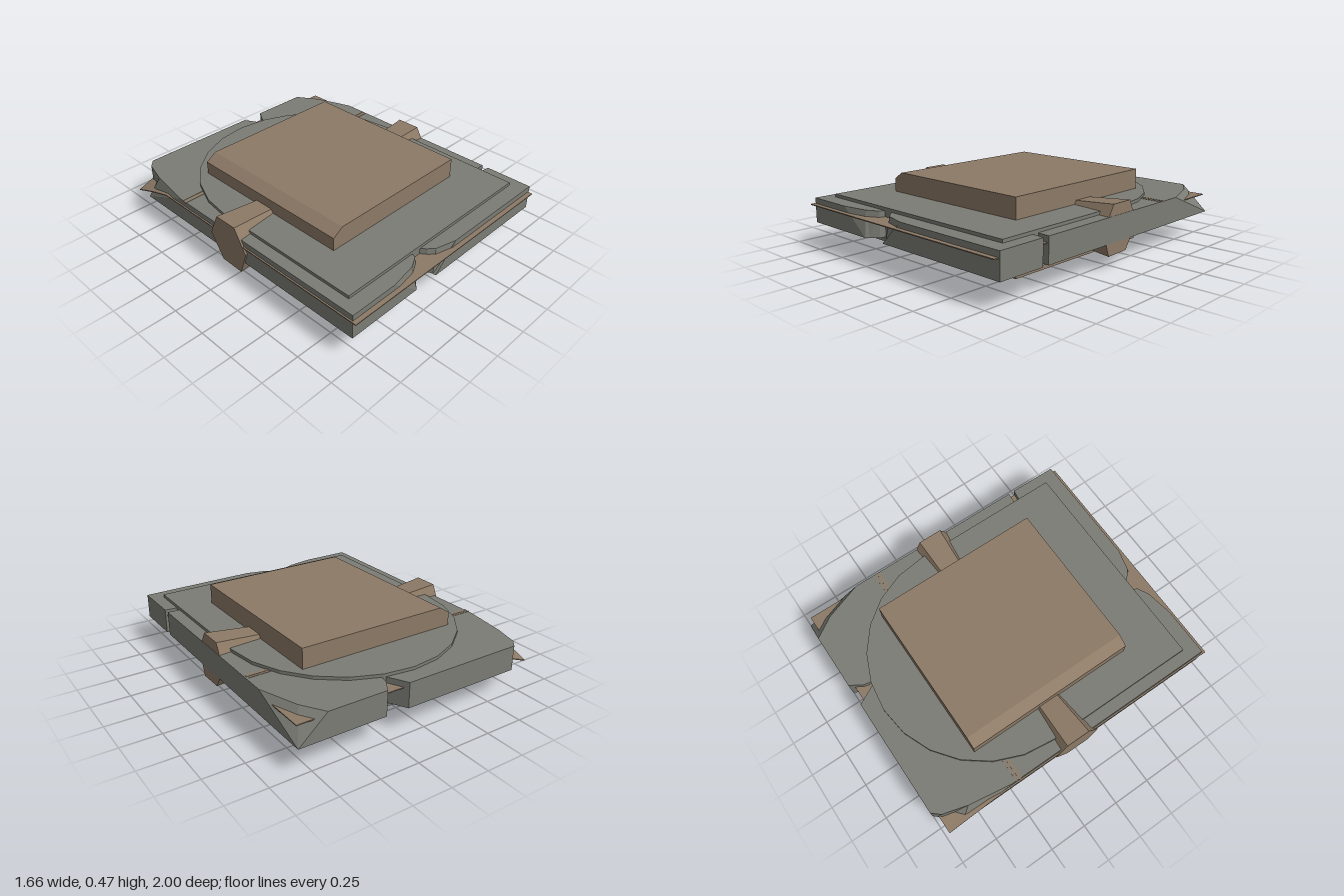
import * as THREE from 'three';

// Faceted solid between two [x, z] outlines at heights y0 and y1
function loft(low, high, y0, y1) {
  const flat = (ring) => ring.map(([x, z]) => new THREE.Vector2(x, -z));
  if (THREE.ShapeUtils.isClockWise(flat(low))) {
    low = [...low].reverse();
    high = [...high].reverse();
  }
  const pos = [];
  const L = low.map(([x, z]) => [x, y0, z]);
  const H = high.map(([x, z]) => [x, y1, z]);
  const same = (a, b) => a[0] === b[0] && a[1] === b[1] && a[2] === b[2];
  const tri = (a, b, c) => {
    if (!same(a, b) && !same(b, c) && !same(a, c)) pos.push(...a, ...b, ...c);
  };
  for (let i = 0; i < L.length; i++) {
    const j = (i + 1) % L.length;
    tri(L[i], L[j], H[j]);
    tri(L[i], H[j], H[i]);
  }
  for (const [a, b, c] of THREE.ShapeUtils.triangulateShape(flat(high), [])) tri(H[a], H[b], H[c]);
  for (const [a, b, c] of THREE.ShapeUtils.triangulateShape(flat(low), [])) tri(L[c], L[b], L[a]);
  const geo = new THREE.BufferGeometry();
  geo.setAttribute('position', new THREE.Float32BufferAttribute(pos, 3));
  geo.computeVertexNormals();
  return geo;
}

export function createModel() {
  const model = new THREE.Group();
  model.name = 'stoneTablet';
  const stone = new THREE.MeshStandardMaterial({ color: 0x7c7c75 });
  stone.name = 'grey stone';
  const clay = new THREE.MeshStandardMaterial({ color: 0x8d7a66 });
  clay.name = 'brown clay';

  const add = (name, geo, mat) => {
    const mesh = new THREE.Mesh(geo, mat);
    mesh.name = name;
    model.add(mesh);
    return mesh;
  };

  // Chipped slab: each row is low x, low z, high x, high z
  const rim = [
    [0.83, 0.97, 0.83, 0.97],
    // slit in the left side
    [0.83, 0.655, 0.83, 0.655],
    [0.75, 0.645, 0.75, 0.645],
    [0.75, 0.605, 0.75, 0.605],
    [0.83, 0.612, 0.83, 0.612],
    // sloped back left corner
    [0.83, -1, 0.83, -0.61],
    [0.83, -1, 0.74, -0.86],
    [0.83, -1, 0.65, -1],
    // notch in the back
    [0.27, -1, 0.27, -1],
    [0.22, -0.92, 0.22, -0.92],
    [0.21, -0.87, 0.21, -0.87],
    [0.19, -0.87, 0.19, -0.87],
    [0.12, -1, 0.12, -1],
    // broken back right corner
    [-0.68, -1, -0.68, -1],
    [-0.725, -0.95, -0.725, -0.95],
    [-0.815, -0.87, -0.77, -0.79],
    [-0.815, -0.87, -0.815, -0.5],
    // front edge with a chipped notch
    [-0.815, 0.97, -0.815, 0.97],
    [-0.29, 0.97, -0.49, 0.97],
    [-0.27, 0.95, -0.31, 0.94],
    [-0.225, 0.91, -0.235, 0.9],
    [-0.22, 0.86, -0.22, 0.86],
    [-0.165, 0.86, -0.165, 0.86],
    [-0.125, 0.93, -0.13, 0.9],
    [-0.12, 0.95, -0.09, 0.935],
    [-0.12, 0.97, 0.05, 0.97],
  ];
  add('slab', loft(rim.map((r) => [r[0], r[1]]), rim.map((r) => [r[2], r[3]]), 0.16, 0.32), stone);

  // Raised plate with a rounded back, standing proud above and below
  const plate = new THREE.Shape();
  plate.moveTo(-0.74, -0.87);
  plate.lineTo(0.75, -0.87);
  for (let i = 0; i <= 12; i++) {
    const a = (i / 12) * Math.PI;
    plate.lineTo(0.005 + 0.745 * Math.cos(a), 0.15 + 0.75 * Math.sin(a));
  }
  const plateGeo = new THREE.ExtrudeGeometry(plate, { depth: 0.21, bevelEnabled: false });
  plateGeo.rotateX(-Math.PI / 2);
  add('raisedPlate', plateGeo, stone).position.y = 0.13;

  // Central block, bevelled along its right edges
  const block = new THREE.Shape();
  [[-0.46, 0], [0.54, 0], [0.54, 0.47], [-0.46, 0.47], [-0.53, 0.425], [-0.53, 0.045]]
    .forEach(([x, y], i) => (i ? block.lineTo(x, y) : block.moveTo(x, y)));
  add('centreBlock', new THREE.ExtrudeGeometry(block, { depth: 1.14, bevelEnabled: false }), clay)
    .position.z = -0.585;

  // Flared side brackets: hexagonal sections as [height, z]
  const inner = [[0.36, 0.03], [0.36, -0.1], [0.24, -0.15], [0.11, -0.07], [0.11, 0.06], [0.24, 0.11]];
  const outer = [[0.39, 0.05], [0.39, -0.11], [0.24, -0.18], [0.09, -0.08], [0.085, 0.085], [0.24, 0.14]];
  for (const side of [1, -1]) {
    const turn = (ring) => ring.map(([h, z]) => [-side * h, z]);
    const geo = loft(turn(inner), turn(outer), 0.5, 0.828);
    geo.rotateZ((-side * Math.PI) / 2);
    add(side > 0 ? 'leftBracket' : 'rightBracket', geo, clay);
  }

  // Thin layer through the slab, sagging at the back right corner
  const layer = new THREE.BoxGeometry(1.645, 0.006, 1.97, 10, 1, 12);
  layer.translate(-0.0025, 0.28, 0.015);
  const p = layer.attributes.position;
  for (let i = 0; i < p.count; i++) {
    const d = Math.hypot(p.getX(i) + 0.825, p.getZ(i) + 0.97);
    p.setY(i, p.getY(i) - 0.11 * Math.max(0, 1 - d / 0.3));
  }
  layer.computeVertexNormals();
  add('thinLayer', layer, clay);

  // Narrow seams across the slab top behind the brackets
  for (const side of [1, -1]) {
    for (const [z, w] of [[-0.47, 0.008], [-0.445, 0.02]]) {
      add('seam', new THREE.BoxGeometry(0.16, 0.004, w), clay).position.set(side * 0.74, 0.32, z);
    }
  }

  return model;
}
